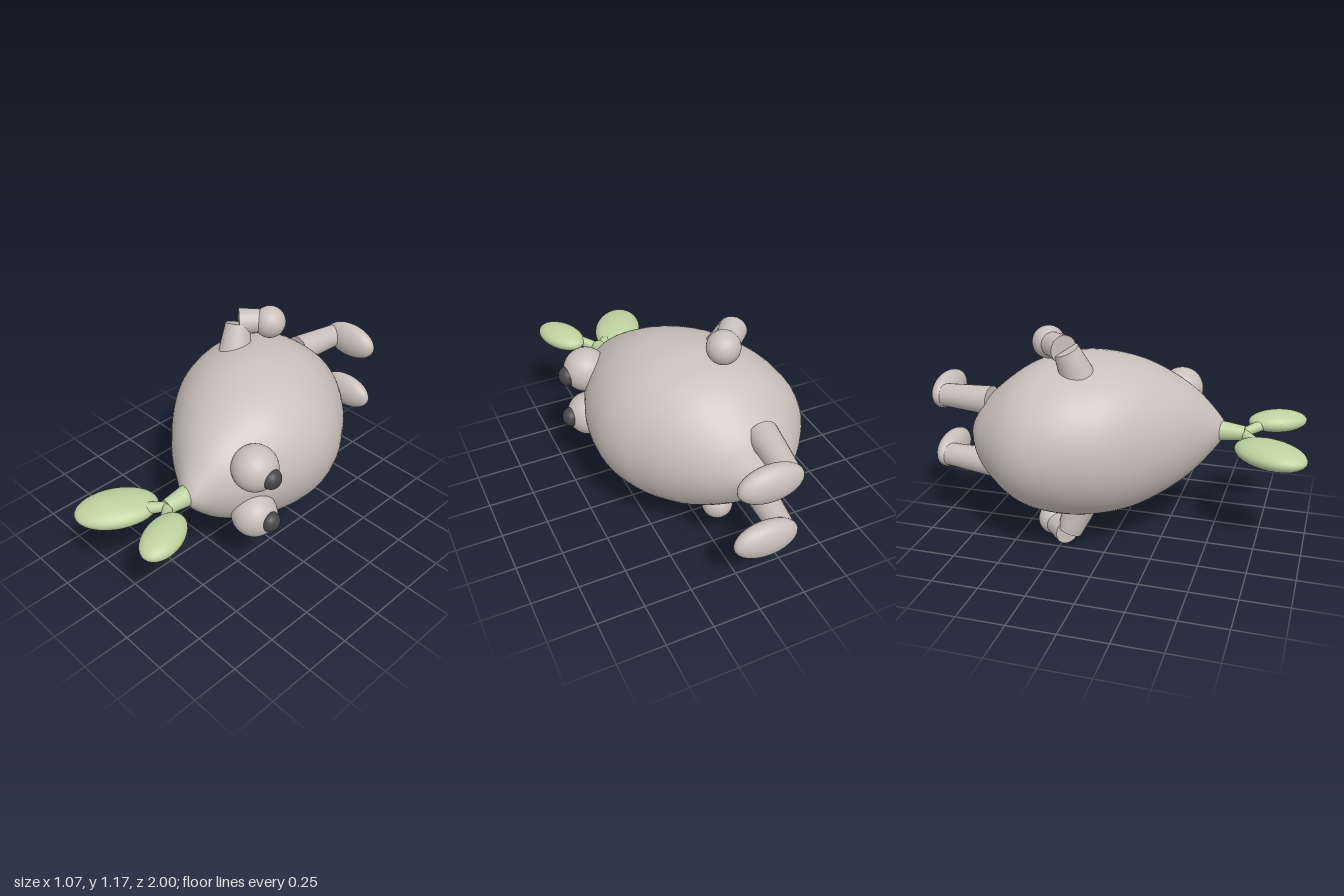
import * as THREE from 'three';

const skin = new THREE.MeshStandardMaterial({ color: 0xc8c0bb });
skin.name = 'warm grey skin';
const green = new THREE.MeshStandardMaterial({ color: 0xbdd29f });
green.name = 'leaf green';
const dark = new THREE.MeshStandardMaterial({ color: 0x47454a });
dark.name = 'pupil dark grey';

const MID = 0.59; // height of the mirror plane

function add(parent, name, geometry, material) {
  const mesh = new THREE.Mesh(geometry, material);
  mesh.name = name;
  parent.add(mesh);
  return mesh;
}

function ellipsoid(parent, name, material, centre, radii, turn = 0) {
  const mesh = add(parent, name, new THREE.SphereGeometry(1, 32, 24), material);
  mesh.position.set(...centre);
  mesh.scale.set(...radii);
  mesh.rotation.y = turn;
  return mesh;
}

// Tapered cylinder running from point a to point b
function limb(parent, name, material, a, b, ra, rb) {
  const from = new THREE.Vector3(...a);
  const to = new THREE.Vector3(...b);
  const dir = to.clone().sub(from);
  const mesh = add(parent, name, new THREE.CylinderGeometry(rb, ra, dir.length(), 20), material);
  mesh.position.copy(from).add(to).multiplyScalar(0.5);
  mesh.quaternion.setFromUnitVectors(new THREE.Vector3(0, 1, 0), dir.normalize());
  return mesh;
}

// Leaning drop shape lofted through elliptical sections
function bodyGeometry() {
  // z, lowest x, highest x, half height
  const sections = [
    [0.545, 0.195, 0.195, 0], [0.535, 0.15, 0.24, 0.045], [0.46, 0.03, 0.293, 0.145],
    [0.355, -0.13, 0.36, 0.25], [0.195, -0.31, 0.425, 0.353], [0.035, -0.44, 0.475, 0.41],
    [-0.15, -0.515, 0.482, 0.432], [-0.3, -0.536, 0.435, 0.415], [-0.4, -0.525, 0.372, 0.386],
    [-0.5, -0.48, 0.295, 0.33], [-0.634, -0.37, 0.15, 0.215], [-0.714, -0.25, 0.018, 0.105],
    [-0.745, -0.17, -0.05, 0.045], [-0.755, -0.11, -0.11, 0],
  ];
  const edges = new THREE.CatmullRomCurve3(
    sections.map(([z, lo, hi]) => new THREE.Vector3(lo, hi, z)), false, 'catmullrom', 0.5);
  const heights = new THREE.CatmullRomCurve3(
    sections.map((s) => new THREE.Vector3(s[3], 0, 0)), false, 'catmullrom', 0.5);
  const rings = 65, sides = 64, positions = [], index = [];
  for (let i = 0; i <= rings; i++) {
    const e = edges.getPoint(i / rings);
    const h = heights.getPoint(i / rings).x;
    for (let j = 0; j < sides; j++) {
      const a = (j / sides) * Math.PI * 2;
      positions.push((e.x + e.y) / 2 + ((e.y - e.x) / 2) * Math.cos(a), MID + h * Math.sin(a), e.z);
      if (i === rings) continue;
      const p = i * sides + j, q = i * sides + ((j + 1) % sides);
      index.push(p, p + sides, q, q, p + sides, q + sides);
    }
  }
  const geometry = new THREE.BufferGeometry();
  geometry.setAttribute('position', new THREE.Float32BufferAttribute(positions, 3));
  geometry.setIndex(index);
  geometry.computeVertexNormals();
  return geometry;
}

export function createModel() {
  const model = new THREE.Group();
  model.name = 'sproutCreature';

  add(model, 'body', bodyGeometry(), skin);

  // Paired parts, mirrored across the middle height
  for (const s of [1, -1]) {
    const side = new THREE.Group();
    side.name = s > 0 ? 'upperSide' : 'lowerSide';
    model.add(side);
    const y = (offset) => MID + s * offset;

    // Eye
    ellipsoid(side, 'eyeball', skin, [0.385, y(0.145), 0.265], [0.117, 0.117, 0.117]);
    ellipsoid(side, 'pupil', dark, [0.49, y(0.135), 0.258], [0.046, 0.052, 0.052]);

    // Bent arm with a round hand
    limb(side, 'upperArm', skin, [-0.185, y(0.36), -0.15], [-0.215, y(0.5), -0.2], 0.088, 0.066);
    limb(side, 'forearm', skin, [-0.22, y(0.505), -0.21], [-0.13, y(0.505), -0.315], 0.071, 0.06);
    ellipsoid(side, 'hand', skin, [-0.108, y(0.502), -0.328], [0.084, 0.084, 0.084]);

    // Leg and long foot
    limb(side, 'leg', skin, [-0.17, y(0.177), -0.63], [-0.14, y(0.172), -0.92], 0.078, 0.061);
    ellipsoid(side, 'foot', skin, [-0.04, y(0.172), -0.934], [0.167, 0.097, 0.067]);
  }

  // Sprout with two leaves
  const sprout = new THREE.Group();
  sprout.name = 'sprout';
  model.add(sprout);
  limb(sprout, 'stem', green, [0.18, MID, 0.52], [0.178, MID, 0.65], 0.055, 0.038);
  limb(sprout, 'largeLeafStalk', green, [0.178, 0.59, 0.64], [0.09, 0.57, 0.72], 0.024, 0.032);
  limb(sprout, 'smallLeafStalk', green, [0.178, 0.59, 0.64], [0.27, 0.61, 0.73], 0.024, 0.03);
  ellipsoid(sprout, 'largeLeaf', green, [-0.005, 0.563, 0.806], [0.13, 0.066, 0.204], -0.47);
  ellipsoid(sprout, 'smallLeaf', green, [0.343, 0.615, 0.803], [0.096, 0.057, 0.16], 0.42);

  return model;
}
